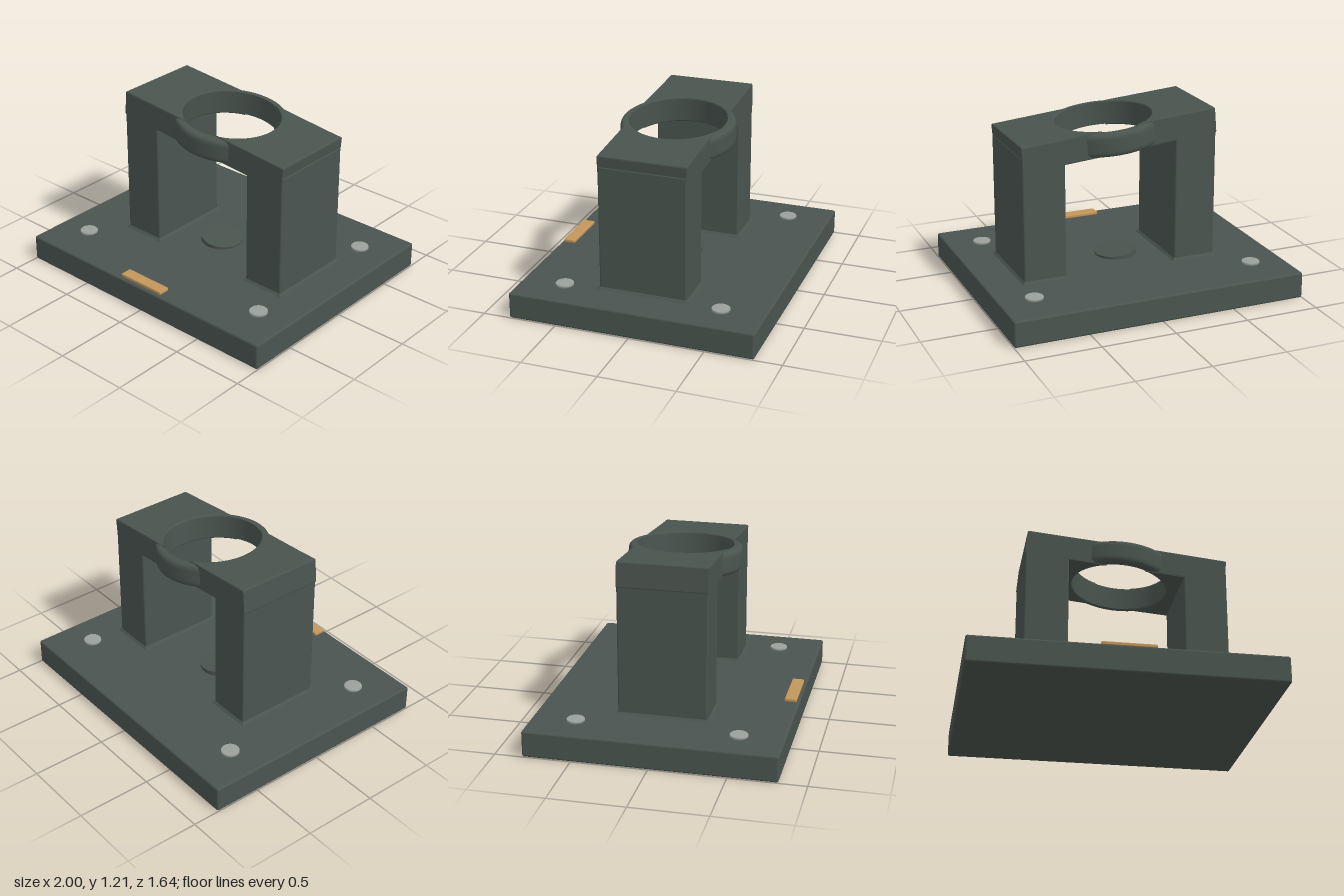
import * as THREE from 'three';
import { RoundedBoxGeometry } from 'three/addons/geometries/RoundedBoxGeometry.js';

const BODY = new THREE.MeshStandardMaterial({ color: 0x4a544f });
const METAL = new THREE.MeshStandardMaterial({ color: 0x9aa09c });
const TAG = new THREE.MeshStandardMaterial({ color: 0xc2965a });

const BASE_TOP = 0.177;
const TILT = -0.087;
const HOLE = 0.32;

export function createModel() {
  const model = new THREE.Group();
  model.name = 'tiltedRingStand';

  function add(parent, name, geometry, material, x = 0, y = 0, z = 0) {
    const mesh = new THREE.Mesh(geometry, material);
    mesh.name = name;
    mesh.position.set(x, y, z);
    parent.add(mesh);
    return mesh;
  }

  // Base plate
  add(model, 'basePlate', new RoundedBoxGeometry(2, BASE_TOP, 1.64, 3, 0.014), BODY, 0, BASE_TOP / 2, 0);

  // Two legs, each with a small flared foot
  function leg(name, x, top) {
    const bottom = BASE_TOP - 0.03;
    add(model, name, new RoundedBoxGeometry(0.29, top - bottom, 0.59, 3, 0.012), BODY, x, (top + bottom) / 2, 0);
    const foot = new THREE.BoxGeometry(0.288, 0.018, 0.588).toNonIndexed();
    const p = foot.attributes.position;
    for (let i = 0; i < p.count; i++) {
      if (p.getY(i) > 0) continue;
      p.setX(i, p.getX(i) + Math.sign(p.getX(i)) * 0.016);
      p.setZ(i, p.getZ(i) + Math.sign(p.getZ(i)) * 0.016);
    }
    foot.computeVertexNormals();
    add(model, name + 'Foot', foot, BODY, x, BASE_TOP + 0.008, 0);
  }
  leg('rightLeg', -0.46, 1.06);
  leg('leftLeg', 0.6, 1.02);

  // Tilted head: two beam halves bitten by the hole, joined by a ring
  const head = new THREE.Group();
  head.name = 'tiltedHead';
  head.position.set(0.07, 1.065, 0);
  head.rotation.z = TILT;
  model.add(head);

  const w = 0.295, len = 0.673, t = 0.174, bevel = 0.01;
  const a = Math.asin(w / HOLE);
  const bite = new THREE.Shape();
  bite.moveTo(len, -w);
  bite.lineTo(len, w);
  bite.lineTo(HOLE * Math.cos(a), w);
  bite.absarc(0, 0, HOLE, a, -a, true);
  bite.closePath();
  const half = new THREE.ExtrudeGeometry(bite, {
    depth: t - 2 * bevel, bevelThickness: bevel, bevelSize: bevel,
    bevelOffset: -bevel, bevelSegments: 2, curveSegments: 40,
  });
  half.translate(0, 0, -(t - 2 * bevel) / 2);
  half.rotateX(-Math.PI / 2);
  add(head, 'leftBeam', half, BODY);
  add(head, 'rightBeam', half, BODY).rotation.y = Math.PI;

  // Ring with rounded outer edges and a flat bore
  const h = 0.079;
  const section = new THREE.Path();
  section.moveTo(HOLE + 0.002, -h);
  section.lineTo(0.345, -h);
  section.quadraticCurveTo(0.378, -h, 0.378, -0.035);
  section.lineTo(0.378, 0.035);
  section.quadraticCurveTo(0.378, h, 0.345, h);
  section.lineTo(HOLE + 0.002, h);
  add(head, 'ringOuter', new THREE.LatheGeometry(section.getPoints(8), 72), BODY);
  const bore = [new THREE.Vector2(HOLE + 0.002, h), new THREE.Vector2(HOLE + 0.002, -h)];
  add(head, 'ringBore', new THREE.LatheGeometry(bore, 72), BODY);

  // Tilted pad on the base, in line with the ring axis
  const pad = add(model, 'centrePad', new THREE.CylinderGeometry(0.14, 0.14, 0.06, 48), BODY, -0.01, 0.173, 0);
  pad.rotation.z = TILT;

  // Four screw heads with softened rims
  const rim = [[0, 0], [0.06, 0], [0.06, 0.016], [0.056, 0.02], [0, 0.02]]
    .map(([r, y]) => new THREE.Vector2(r, y));
  const screw = new THREE.LatheGeometry(rim, 40);
  for (const x of [-0.765, 0.765]) {
    for (const z of [-0.53, 0.53]) {
      add(model, 'screwHead', screw, METAL, x, BASE_TOP - 0.003, z);
    }
  }

  // Front marker plate
  add(model, 'frontMarker', new RoundedBoxGeometry(0.35, 0.024, 0.08, 2, 0.007), TAG, -0.003, 0.191, 0.762);

  return model;
}
